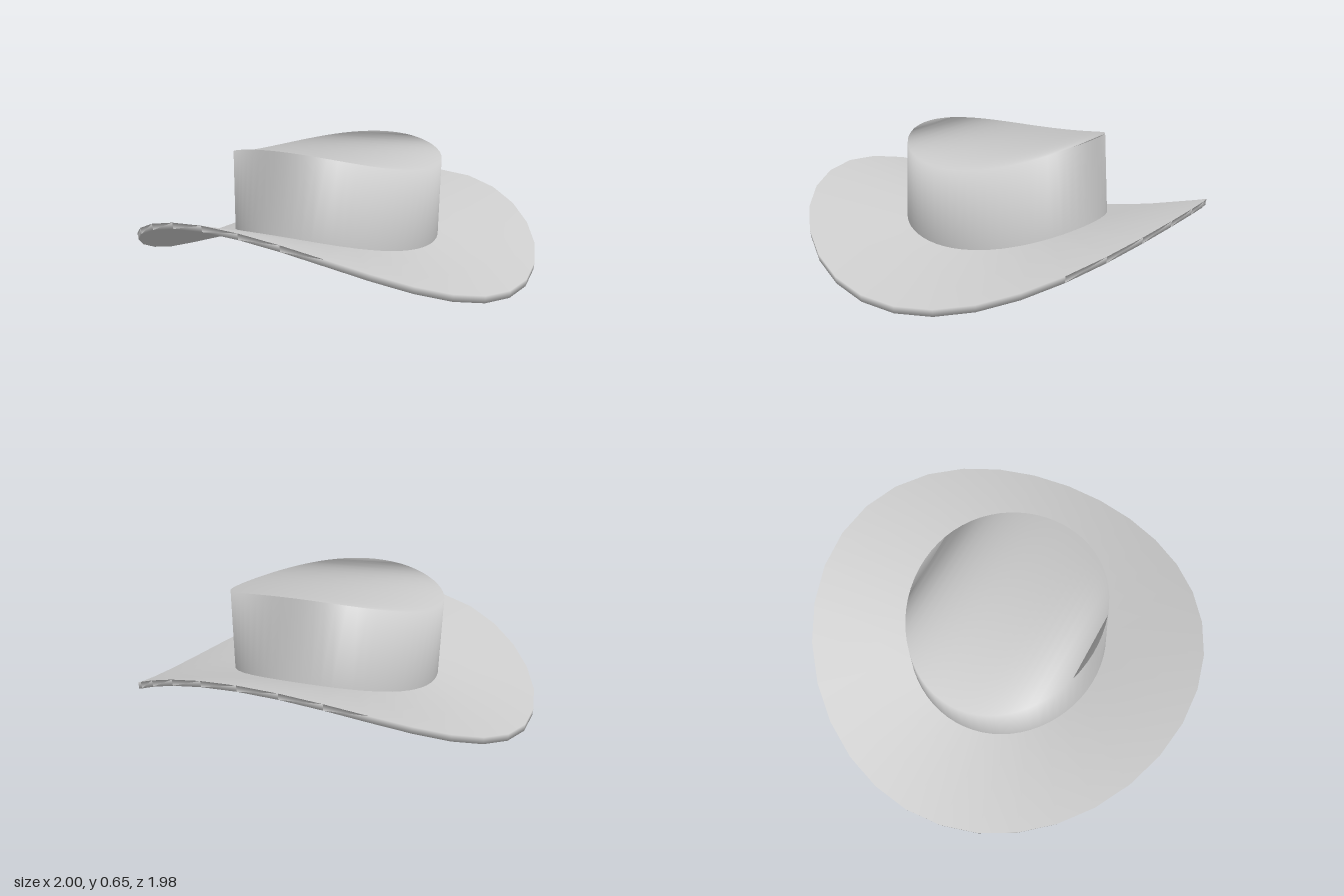
import * as THREE from 'three';

const felt = new THREE.MeshStandardMaterial({ color: 0xcccccc, side: THREE.DoubleSide });
felt.name = 'pale grey felt';

// Joins elliptical rings into a smooth skin. Each ring is [radiusX, radiusZ, y, drop],
// where drop is how far the ring sags at its two sides.
function loft(rings, n, closed, capped) {
  const pos = [], idx = [];
  for (const [rx, rz, y, drop] of rings) {
    for (let i = 0; i < n; i++) {
      const a = (i / n) * Math.PI * 2, c = Math.cos(a);
      pos.push(rx * c, y - drop * c * c, rz * Math.sin(a));
    }
  }
  const steps = closed ? rings.length : rings.length - 1;
  for (let k = 0; k < steps; k++) {
    const lo = k * n, hi = ((k + 1) % rings.length) * n;
    for (let i = 0; i < n; i++) {
      const j = (i + 1) % n;
      idx.push(lo + i, hi + i, lo + j, lo + j, hi + i, hi + j);
    }
  }
  if (capped) {
    // Strips across x make the trough-shaped top
    const at = (i) => (rings.length - 1) * n + ((i + 2 * n) % n);
    const back = -n / 4;
    for (let j = 0; j < n / 2; j++) {
      const r0 = at(back + j), r1 = at(back + j + 1);
      const l0 = at(back - j), l1 = at(back - j - 1);
      if (j > 0) idx.push(r0, l0, l1);
      if (j < n / 2 - 1) idx.push(r0, l1, r1);
    }
  }
  const g = new THREE.BufferGeometry();
  g.setAttribute('position', new THREE.Float32BufferAttribute(pos, 3));
  g.setIndex(idx);
  g.computeVertexNormals();
  return g;
}

export function createModel() {
  const group = new THREE.Group();
  group.name = 'hat';

  // Brim: thick ring, raised at front and back, drooping at the sides
  const brim = new THREE.Mesh(loft([
    [0.5, 0.49, 0.22, 0.075],
    [0.995, 0.985, 0.35, 0.35],
    [1, 0.99, 0.38, 0.345],
    [0.51, 0.49, 0.25, 0.075],
  ], 32, true, false), felt);
  brim.name = 'brim';

  // Crown: open below, saddle-shaped rim and top
  const crown = new THREE.Mesh(loft([
    [0.515, 0.5, 0.235, 0.075],
    [0.545, 0.47, 0.65, 0.09],
  ], 64, false, true), felt);
  crown.name = 'crown';

  group.add(brim, crown);
  return group;
}
